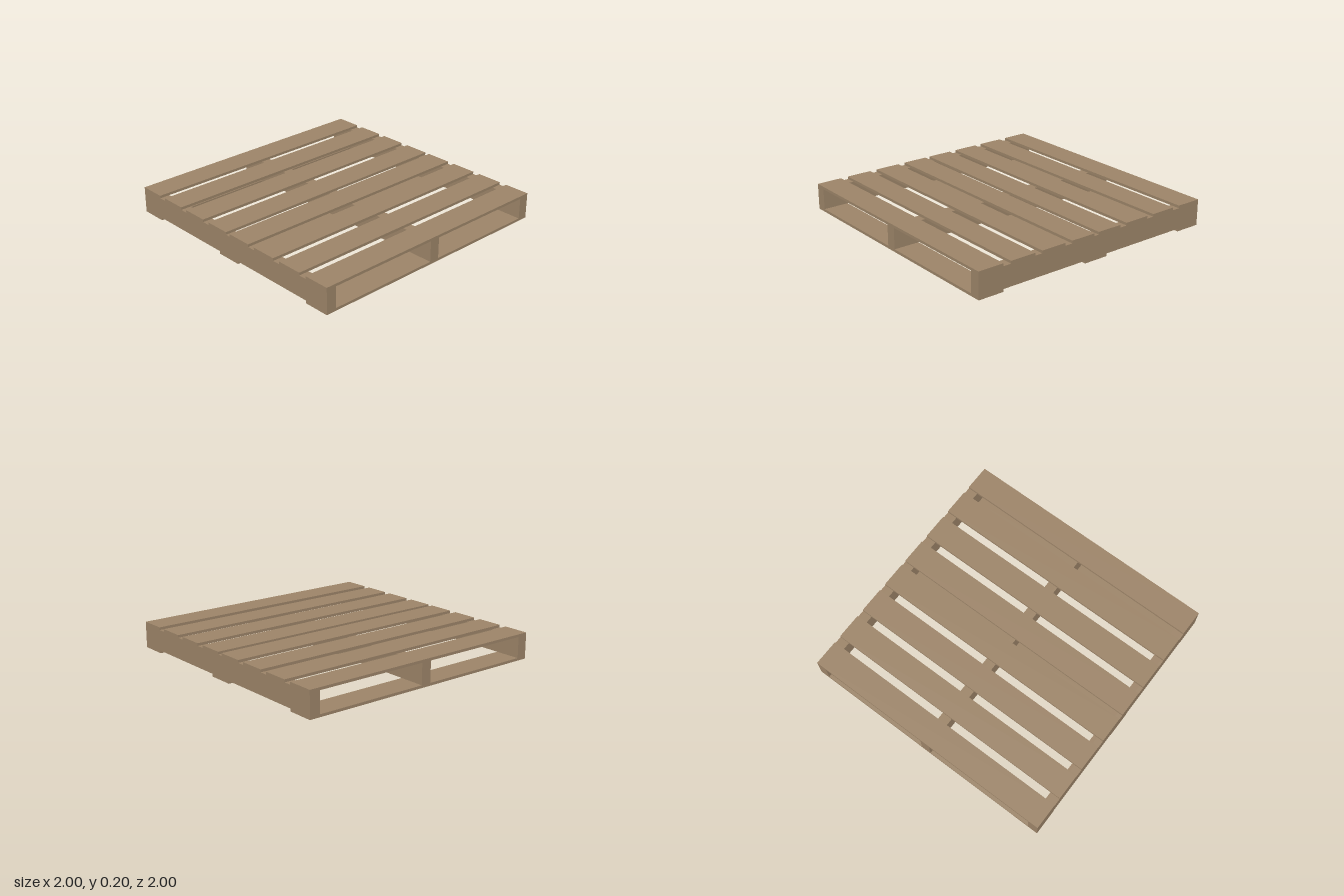
import * as THREE from 'three';

export function createModel() {
  const group = new THREE.Group();
  const wood = new THREE.MeshStandardMaterial({ color: 0x9c8468 });
  wood.name = 'wood';

  const addBoard = (name, width, height, depth, x, y, z) => {
    const board = new THREE.Mesh(new THREE.BoxGeometry(width, height, depth), wood);
    board.name = name;
    board.position.set(x, y, z);
    group.add(board);
  };

  // Three stringers running front to back
  for (const x of [-0.96, 0, 0.96]) addBoard('stringer', 0.08, 0.16, 2, x, 0.1, 0);

  // Eight deck boards across the top, with a narrow gap in the middle
  for (const side of [-1, 1]) {
    for (let i = 0; i < 4; i++) addBoard('deckBoard', 2, 0.02, 0.2, 0, 0.19, side * (0.12 + i * 0.26));
  }

  // Three boards across the bottom
  for (const z of [-0.9, 0, 0.9]) addBoard('bottomBoard', 2, 0.02, 0.2, 0, 0.01, z);

  return group;
}
